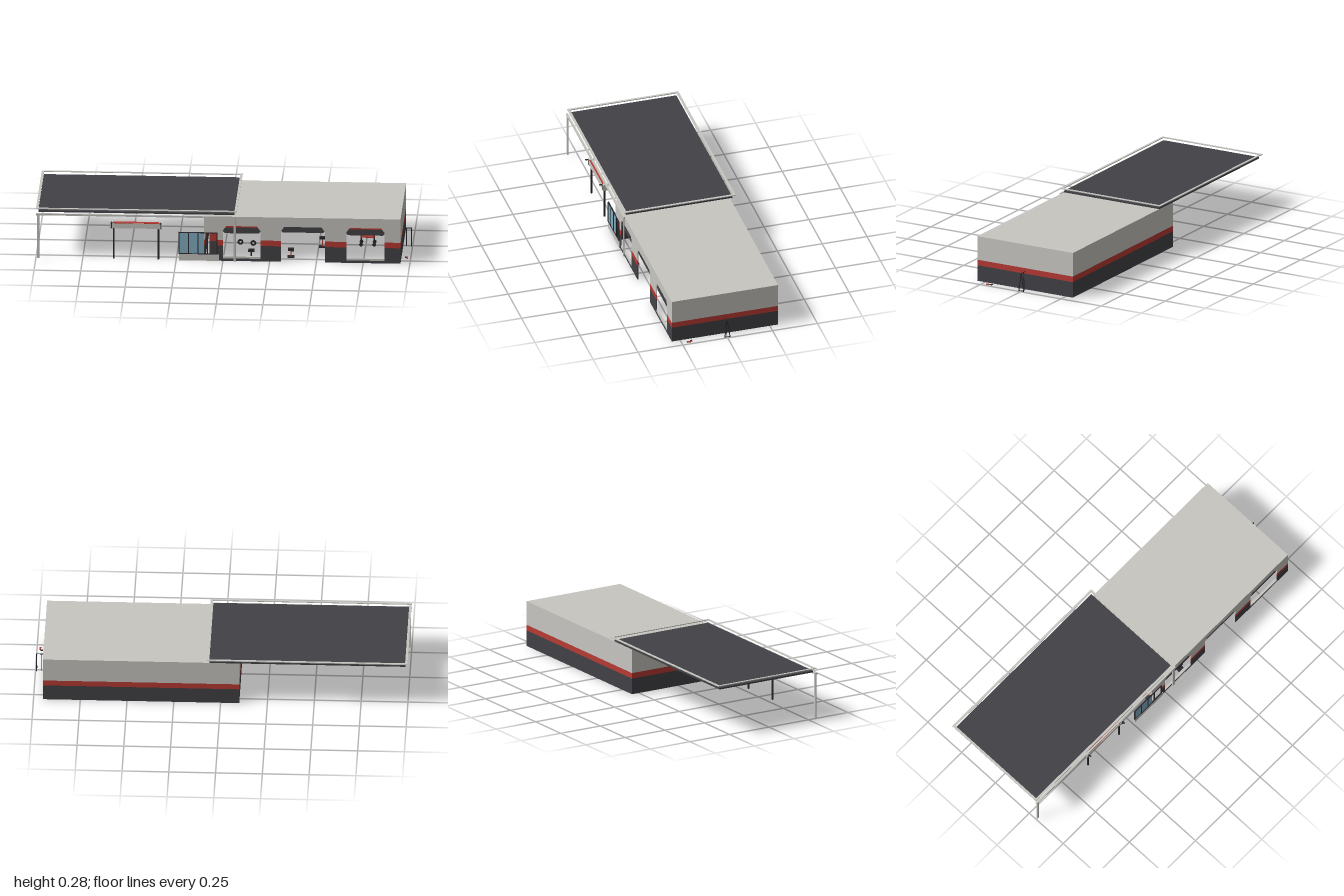
import * as THREE from 'three';

export function createModel() {
  const root = new THREE.Group();
  root.name = 'serviceStation';
  const mat = (name, color) => {
    const m = new THREE.MeshStandardMaterial({ color });
    m.name = name;
    return m;
  };
  const grey = mat('warm grey', 0xc8c6c1);
  const red = mat('red', 0xb93a33);
  const dark = mat('charcoal', 0x424146);
  const black = mat('near black', 0x29292c);
  const blue = mat('window blue', 0x82adc3);

  const add = (name, geo, m, parent = root) => {
    const mesh = new THREE.Mesh(geo, m);
    mesh.name = name;
    parent.add(mesh);
    return mesh;
  };
  // Box given by its minimum and maximum on each axis
  const box = (name, m, x0, x1, y0, y1, z0, z1, parent = root) => {
    const mesh = add(name, new THREE.BoxGeometry(x1 - x0, y1 - y0, z1 - z0), m, parent);
    mesh.position.set((x0 + x1) / 2, (y0 + y1) / 2, (z0 + z1) / 2);
    return mesh;
  };
  // Round bar between two points
  const bar = (name, m, a, b, r = 0.002, parent = root) => {
    const path = new THREE.LineCurve3(new THREE.Vector3(...a), new THREE.Vector3(...b));
    return add(name, new THREE.TubeGeometry(path, 1, r, 6), m, parent);
  };
  // Outline in the xy plane, extruded forward from z
  const plate = (name, m, points, z, depth) => {
    const shape = new THREE.Shape(points.map(p => new THREE.Vector2(...p)));
    const mesh = add(name, new THREE.ExtrudeGeometry(shape, { depth, bevelEnabled: false }), m);
    mesh.position.z = z;
    return mesh;
  };

  // Building shell: three colour bands, open underneath
  const L = -0.1, R = 0.95, B = -0.295, F = 0.297, T = 0.004;
  const bands = [[0, 0.087, dark], [0.087, 0.118, red], [0.118, 0.25, grey]];
  const openings = [[-0.1, -0.03], [0, 0.2], [0.31, 0.545], [0.66, 0.865]];
  for (const [y0, y1, m] of bands) {
    box('backWall', m, L, R, y0, y1, B, B + T);
    box('leftSideWall', m, R - T, R, y0, y1, B + T, F);
    box('rightSideWall', m, L, L + T, y0, y1, B + T, F - T);
    if (m === grey) continue;
    openings.forEach(([, x1], i) => {
      const next = i < 3 ? openings[i + 1][0] : R - T;
      box('frontWall', m, x1, next, y0, y1, F - T, F);
    });
  }
  box('roof', grey, L + T, R - T, 0.246, 0.25, B + T, F - T);

  // Upper front wall with chamfered bay heads
  const edge = [[L, 0.25], [L, 0.157], [-0.03, 0.157], [-0.03, 0.118]];
  for (const [a, b] of openings.slice(1)) {
    edge.push([a, 0.118], [a, 0.172], [a + 0.018, 0.197], [b - 0.018, 0.197], [b, 0.172], [b, 0.118]);
  }
  edge.push([R - T, 0.118], [R - T, 0.25]);
  plate('upperFrontWall', grey, edge, F - T, T);

  // Rolled-up shutters and window sills in the bays
  openings.slice(1).forEach(([a, b], i) => {
    const middle = i === 1;
    const top = middle ? 0.197 : 0.188, low = middle ? 0.165 : 0.155;
    plate('shutter', dark, [[a, low + 0.01], [a + 0.01, low], [b - 0.01, low], [b, low + 0.01],
      [b, 0.172], [b - 0.013, top], [a + 0.013, top], [a, 0.172]], F - 0.009, 0.005);
    if (middle) return;
    box('shutterTrim', red, a + 0.013, b - 0.013, 0.188, 0.197, F - 0.009, F - 0.004);
    box('baySill', grey, a, b, 0.014, 0.025, F - 0.012, F);
    box('bayBase', dark, a, b, 0, 0.014, F - T, F);
  });

  // Glazed office front, reaching past the building corner
  box('officePlinth', grey, -0.235, -0.02, 0, 0.036, F - 0.004, 0.301);
  box('officeGlass', blue, -0.235, -0.1, 0.036, 0.155, 0.295, 0.298);
  const innerGlass = add('innerGlass', new THREE.PlaneGeometry(0.07, 0.119), blue);
  innerGlass.position.set(-0.065, 0.0955, 0.296);
  innerGlass.rotation.y = Math.PI;
  for (let i = 0; i < 5; i++) {
    const x = -0.235 + i * 0.051;
    box('mullion', black, x - 0.002, x + 0.002, 0.036, 0.157, 0.294, 0.301);
  }
  for (const y of [0.036, 0.155]) box('windowRail', black, -0.237, -0.029, y, y + 0.004, 0.294, 0.301);

  // Canopy: dark deck, raised rim, front beam and two posts
  box('canopyDeck', dark, -0.988, 0.06, 0.256, 0.264, -0.305, 0.287);
  for (const z of [-0.32, 0.287]) box('canopyRim', grey, -1, 0.075, 0.276, 0.28, z, z + 0.013);
  for (const x of [-1, 0.062]) box('canopyRim', grey, x, x + 0.013, 0.276, 0.28, -0.307, 0.287);
  box('canopyBeam', grey, -1, 0.075, 0.243, 0.253, 0.296, 0.306);
  for (const x of [-0.995, 0.056]) box('canopyPost', grey, x, x + 0.013, 0, 0.243, 0.297, 0.304);

  // Free-standing shelter board with two lamps
  box('board', grey, -0.605, -0.33, 0.175, 0.202, 0.272, 0.3);
  box('boardTop', red, -0.602, -0.333, 0.202, 0.205, 0.275, 0.297);
  for (const x of [-0.585, -0.345]) box('boardPost', black, x - 0.004, x + 0.004, 0, 0.175, 0.283, 0.291);
  for (const x of [-0.595, -0.335]) {
    box('boardEnd', grey, x - 0.008, x + 0.008, 0.171, 0.208, 0.27, 0.301);
    box('lampBracket', black, x - 0.002, x + 0.002, 0.176, 0.213, 0.301, 0.304);
    box('lampHead', black, x - 0.004, x + 0.004, 0.207, 0.211, 0.304, 0.319);
  }

  // Trestle against the left side wall
  for (const s of [-1, 1]) {
    bar('trestleLeg', black, [0.994, 0, s * 0.015], [0.994, 0.103, 0], 0.0025);
    bar('trestleBrace', black, [0.967, 0, s * 0.004], [0.967, 0.1, 0], 0.0015);
  }
  bar('trestleTop', black, [0.95, 0.1, 0], [0.997, 0.1, 0]);
  bar('trestleFoot', black, [0.994, 0.003, -0.015], [0.994, 0.003, 0.015]);
  box('toolHandle', red, 0.978, 0.986, 0, 0.005, 0.2, 0.222);
  box('toolShaft', black, 0.968, 0.982, 0, 0.003, 0.19, 0.2);

  // Workshop cart: open frame with two trays
  const cart = new THREE.Group();
  cart.name = 'cart';
  root.add(cart);
  for (const x of [0.725, 0.795]) for (const z of [-0.025, 0.025]) {
    bar('cartLeg', black, [x, 0.01, z], [x, 0.1, z], 0.003, cart);
    const wheel = add('cartWheel', new THREE.CylinderGeometry(0.01, 0.01, 0.006, 12), black, cart);
    wheel.rotation.x = Math.PI / 2;
    wheel.position.set(x, 0.01, z);
  }
  for (const y of [0.05, 0.096]) box('cartTray', red, 0.722, 0.798, y, y + 0.006, -0.028, 0.028, cart);
  bar('cartHandle', black, [0.705, 0.065, 0], [0.82, 0.065, 0], 0.003, cart);

  // Small workshop stands
  const stand = (x, z, h, m) => {
    const g = new THREE.Group();
    g.name = 'workStand';
    g.position.set(x, 0, z);
    root.add(g);
    box('standBase', black, -0.018, 0.018, 0, 0.006, -0.015, 0.015, g);
    bar('standColumn', m, [0, 0.005, 0], [0, h, 0], 0.004, g);
    box('standHead', black, -0.016, 0.016, h - 0.008, h + 0.006, -0.01, 0.01, g);
  };
  stand(0.36, 0.22, 0.045, red);
  stand(0.15, 0.26, 0.05, black);
  stand(0.52, 0.05, 0.055, red);

  // Spare tyres on the floor
  for (const [x, z] of [[0.6, 0.02], [0.15, 0.045], [0.08, 0.03]]) {
    const tyre = add('tyre', new THREE.TorusGeometry(0.011, 0.005, 8, 16), black);
    tyre.position.set(x, 0.016, z);
  }

  // Office cabinet
  box('cabinetBase', dark, -0.075, -0.035, 0, 0.085, 0.19, 0.22);
  box('cabinetTop', red, -0.075, -0.035, 0.085, 0.135, 0.19, 0.22);

  return root;
}
